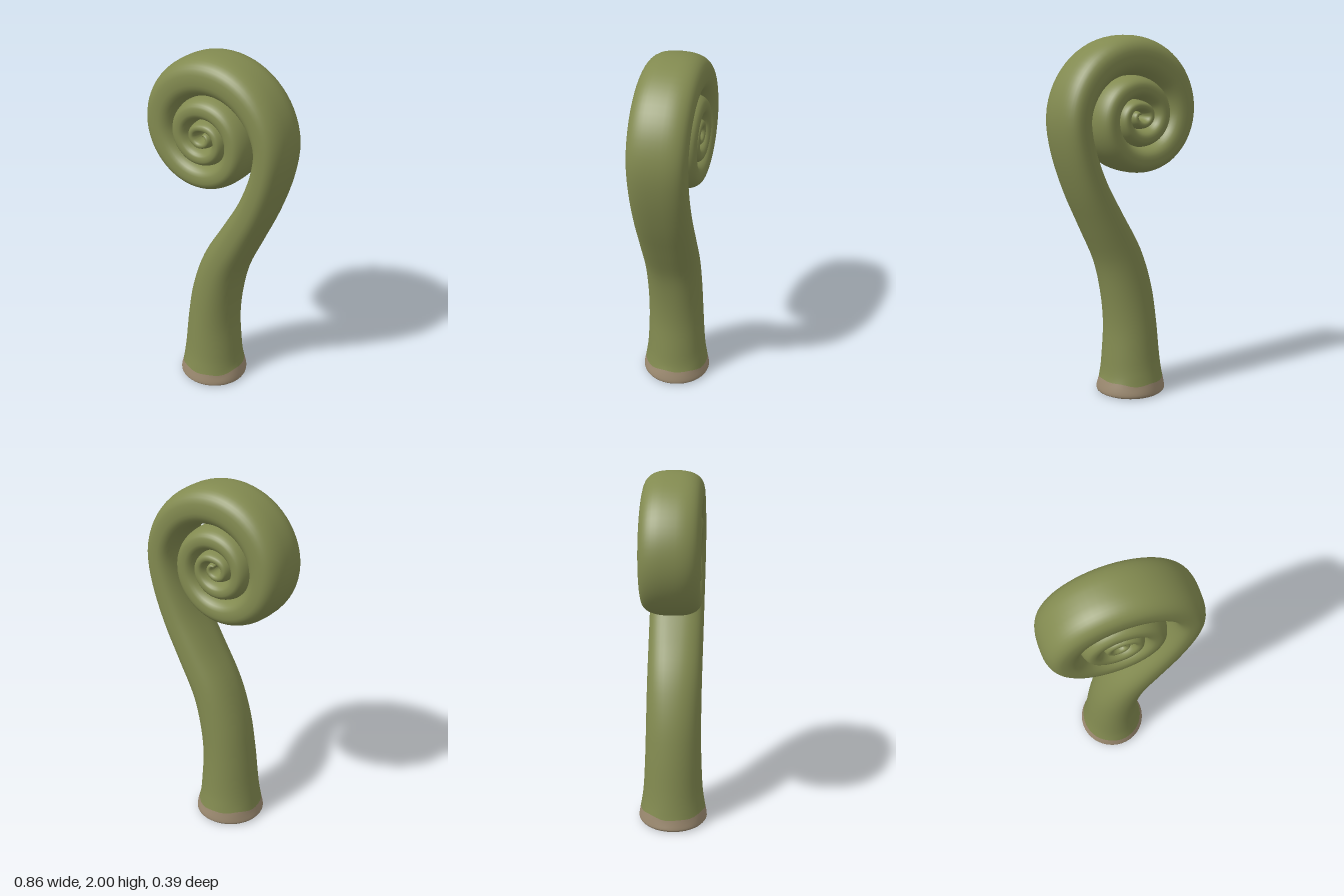
import * as THREE from 'three';

const SIDES = 40, SUB = 4;
const V = (x, y, z) => new THREE.Vector3(x, y, z);
const spline = (pts) => new THREE.CatmullRomCurve3(pts, false, 'catmullrom', 0.5);

// Stem stations: x, y, half width in the curl plane, half depth
const STEM = [
  [-0.063, 0, 0.180, 0.180], [-0.063, 0.008, 0.190, 0.190], [-0.063, 0.025, 0.194, 0.196],
  [-0.064, 0.1, 0.176, 0.183], [-0.062, 0.2, 0.163, 0.170], [-0.056, 0.4, 0.146, 0.160],
  [-0.028, 0.6, 0.136, 0.156], [0.032, 0.8, 0.121, 0.155], [0.137, 1.0, 0.106, 0.155],
  [0.241, 1.2, 0.094, 0.155], [0.314, 1.4, 0.088, 0.156],
];
// Coil stations every quarter turn: distance from the coil centre, half width, half depth
const CENTRE = [-0.04, 1.57];
const COIL = [
  [0.377, 0.0875, 0.157], [0.322, 0.108, 0.158], [0.293, 0.097, 0.158], [0.235, 0.077, 0.157],
  [0.187, 0.069, 0.156], [0.154, 0.067, 0.156], [0.152, 0.059, 0.155], [0.118, 0.053, 0.153],
  [0.092, 0.040, 0.150], [0.058, 0.034, 0.148], [0.068, 0.033, 0.145], [0.042, 0.028, 0.142],
  [0.030, 0.024, 0.138], [0.012, 0.012, 0.130],
];

// Joins the stem and the spiral into one path with matching cross-section sizes
function stations() {
  const path = [], size = [];
  for (const [x, y, w, d] of STEM) {
    path.push(V(x, y, 0));
    size.push(V(w, d, 2 + 0.6 * THREE.MathUtils.smoothstep(y, 0.3, 1.4)));
  }
  const coil = spline(COIL.map((c) => V(...c)));
  const steps = (COIL.length - 1) * 4;
  for (let i = 0; i <= steps; i++) {
    const c = coil.getPoint(i / steps), a = (i / 4) * Math.PI / 2;
    path.push(V(CENTRE[0] + c.x * Math.cos(a), CENTRE[1] + c.x * Math.sin(a), 0));
    size.push(V(c.y, c.z, 2.6));
  }
  return { path: spline(path), size: spline(size), count: (path.length - 1) * SUB };
}

// Sweeps a rounded cross-section along the path, with a wavy colour border near the foot
function sweptBody() {
  const { path, size, count } = stations();
  const pos = [], index = [];
  let border = 0;
  for (let i = 0; i <= count; i++) {
    const t = i / count, p = path.getPoint(t), s = size.getPoint(t);
    const dir = i === 0 ? V(0, 1, 0) : path.getTangent(t);
    if (i < STEM.length * SUB && p.y < 0.07) border = i + 1;
    const fall = Math.exp(-(((p.y - 0.07) / 0.03) ** 2)) * Math.min(1, p.y / 0.02);
    for (let j = 0; j < SIDES; j++) {
      const a = (j / SIDES) * Math.PI * 2, c = Math.cos(a), n = Math.sin(a);
      const u = Math.sign(c) * Math.abs(c) ** (2 / s.z) * s.x;
      const v = Math.sign(n) * Math.abs(n) ** (2 / s.z) * s.y;
      const wave = 0.006 * Math.sin(3 * a + 2) + 0.004 * Math.sin(7 * a);
      pos.push(p.x + dir.y * u, p.y - dir.x * u + wave * fall, v);
    }
  }
  for (let i = 0; i < count; i++) {
    for (let j = 0; j < SIDES; j++) {
      const k = (j + 1) % SIDES;
      const a = i * SIDES + j, b = a + SIDES, c = i * SIDES + k, d = c + SIDES;
      index.push(a, b, c, b, d, c);
    }
  }
  // Closed tip in the middle of the coil
  const end = path.getPoint(1), tip = pos.length / 3;
  pos.push(end.x, end.y, 0);
  for (let j = 0; j < SIDES; j++) index.push(count * SIDES + j, tip, count * SIDES + (j + 1) % SIDES);

  const geo = new THREE.BufferGeometry();
  geo.setAttribute('position', new THREE.Float32BufferAttribute(pos, 3));
  geo.setIndex(index);
  geo.computeVertexNormals();
  const split = border * SIDES * 6;
  geo.addGroup(0, split, 0);
  geo.addGroup(split, index.length - split, 1);
  return geo;
}

export function createModel() {
  const tan = new THREE.MeshStandardMaterial({ color: 0x9c8a70 });
  tan.name = 'cut stem tan';
  const green = new THREE.MeshStandardMaterial({ color: 0x828a50 });
  green.name = 'fern green';

  const group = new THREE.Group();
  group.name = 'curledFrond';

  const body = new THREE.Mesh(sweptBody(), [tan, green]);
  body.name = 'stemAndCoil';
  group.add(body);

  // Flat underside of the foot
  const foot = new THREE.Mesh(new THREE.CircleGeometry(STEM[0][2], SIDES), tan);
  foot.name = 'footUnderside';
  foot.rotation.x = Math.PI / 2;
  foot.position.x = STEM[0][0];
  group.add(foot);

  return group;
}
